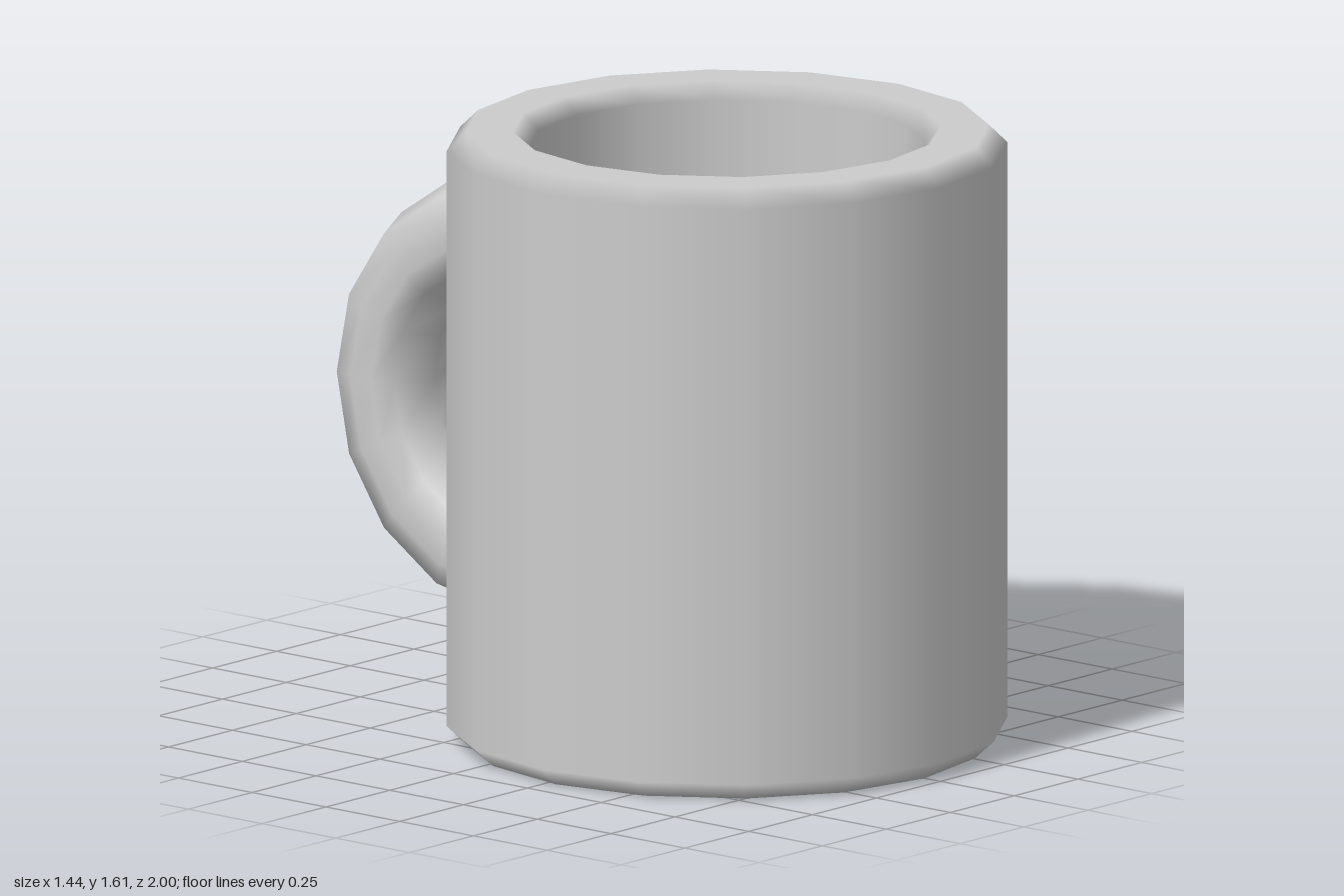
import * as THREE from 'three';
import { mergeVertices } from 'three/addons/utils/BufferGeometryUtils.js';

// Revolved body whose flat bands keep straight normals, so only the chamfers blend.
// Each profile entry: radius, height, radial normal, vertical normal.
function revolve(profile, sides) {
  const points = profile.map(([r, y]) => new THREE.Vector2(r, y));
  const geometry = new THREE.LatheGeometry(points, sides);
  const normal = geometry.attributes.normal;
  for (let s = 0; s <= sides; s++) {
    const a = (s / sides) * Math.PI * 2;
    profile.forEach(([, , nr, ny], j) => {
      normal.setXYZ(s * profile.length + j, nr * Math.sin(a), ny, nr * Math.cos(a));
    });
  }
  return geometry;
}

export function createModel() {
  const group = new THREE.Group();
  group.name = 'mug';
  const ceramic = new THREE.MeshStandardMaterial({ color: 0xcccccc });
  ceramic.name = 'grey ceramic';

  // Cup: underside, outer wall, rim, inner wall and floor, joined by chamfers
  const cup = new THREE.Mesh(revolve([
    [0, 0, 0, -1],
    [0.67, 0, 0, -1],
    [0.72, 0.047, 1, 0],
    [0.72, 1.56, 1, 0],
    [0.672, 1.607, 0, 1],
    [0.55, 1.607, 0, 1],
    [0.51, 1.565, -1, 0],
    [0.51, 0.25, -1, 0],
    [0.47, 0.21, 0, 1],
    [0, 0.21, 0, 1],
  ], 16), ceramic);
  cup.name = 'cup';
  cup.position.z = 0.277;
  group.add(cup);

  // Handle: ten-sided section swept through a half circle behind the cup
  const R = 0.45;
  const half = [[-0.143, 0], [-0.098, -0.105], [-0.035, -0.125], [0.035, -0.125], [0.098, -0.105], [0.143, 0]];
  const mirrored = half.slice(0, 5).reverse().map(([d, w]) => [d, -w]);
  const section = [...half, ...mirrored].map(([d, w]) => new THREE.Vector2(R + d, w));
  let bend = new THREE.LatheGeometry(section, 8, Math.PI / 2, Math.PI);
  bend.deleteAttribute('normal');
  bend.deleteAttribute('uv');
  bend = mergeVertices(bend);
  bend.computeVertexNormals();
  bend.rotateZ(Math.PI / 2);
  const handle = new THREE.Mesh(bend, ceramic);
  handle.name = 'handle';
  handle.position.set(0, 0.8, -0.407);
  group.add(handle);

  return group;
}
